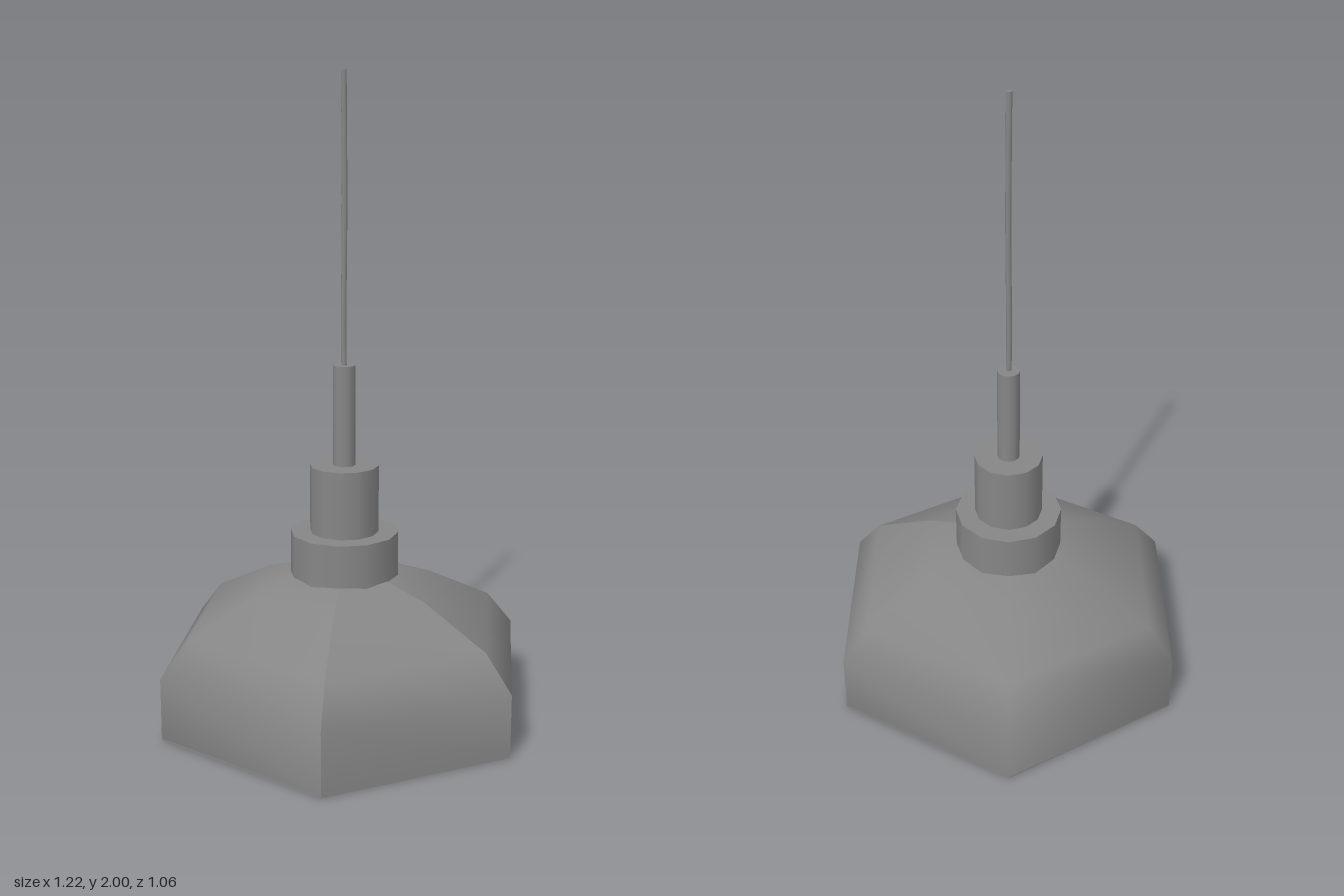
import * as THREE from 'three';

export function createModel() {
  const group = new THREE.Group();
  const material = new THREE.MeshStandardMaterial({ color: 0x868686 });
  const axis = [0.003, 0, -0.01]; // fittings sit slightly off the shade centre

  const add = (name, geometry, position = [0, 0, 0]) => {
    const mesh = new THREE.Mesh(geometry, material);
    mesh.name = name;
    mesh.position.set(...position);
    group.add(mesh);
  };

  // Upright prism between two heights, with a corner on the x axis
  const prism = (radius, y0, y1, sides) =>
    new THREE.CylinderGeometry(radius, radius, y1 - y0, sides)
      .rotateY(Math.PI / 2)
      .translate(0, (y0 + y1) / 2, 0);

  // Six-sided domed shade: the front panel is creased off from the softly shaded rest
  const profile = [[0.61, 0.008], [0.61, 0.2], [0.52, 0.31], [0.3, 0.42], [0.17, 0.457], [0.02, 0.475]]
    .map(([r, y]) => new THREE.Vector2(r, y));
  const shadePanels = (first, count) => {
    const geometry = new THREE.LatheGeometry(profile, count, (first - 0.5) * Math.PI / 3, count * Math.PI / 3);
    geometry.computeVertexNormals();
    return geometry;
  };
  add('shadeFront', shadePanels(0, 1));
  add('shade', shadePanels(1, 5));

  // Underside: a flat hexagonal rim around a slightly recessed panel
  const hexagon = (radius) => Array.from({ length: 6 }, (_, i) =>
    new THREE.Vector2(Math.cos(i * Math.PI / 3), Math.sin(i * Math.PI / 3)).multiplyScalar(radius));
  const rim = new THREE.Shape(hexagon(0.608));
  rim.holes.push(new THREE.Path(hexagon(0.4)));
  add('rim', new THREE.ExtrudeGeometry(rim, { depth: 0.01, bevelEnabled: false }).rotateX(-Math.PI / 2));
  add('diffuserPanel', prism(0.402, 0.003, 0.01, 6));

  // Stepped fittings above the shade
  add('collar', prism(0.17, 0.42, 0.592, 12), axis);
  add('socket', prism(0.108, 0.59, 0.805, 12), axis);
  add('stem', prism(0.035, 0.8, 1.12, 12), axis);

  // Thin, faintly wavy hanging cable
  const path = new THREE.CatmullRomCurve3([
    [-0.002, 1.1, 0.003], [-0.003, 1.25, 0.002], [0, 1.6, 0.002], [-0.002, 2, 0.001],
  ].map((p) => new THREE.Vector3(...p)));
  add('cable', new THREE.TubeGeometry(path, 12, 0.009, 8), axis);
  add('cableEnd', new THREE.CircleGeometry(0.009, 8).rotateX(-Math.PI / 2).translate(-0.002, 2, 0.001), axis);

  return group;
}
